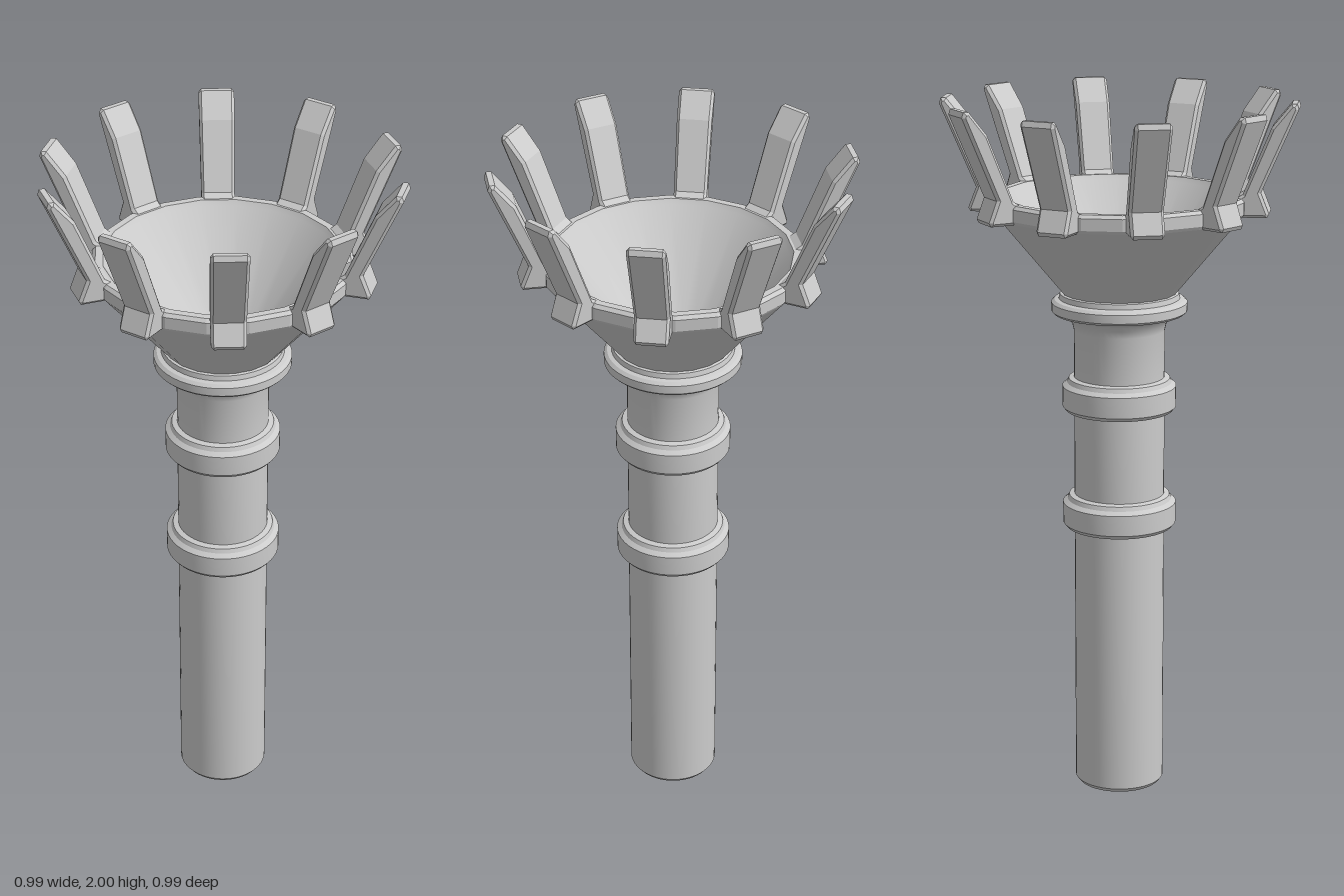
import * as THREE from 'three';
import { toCreasedNormals } from 'three/addons/utils/BufferGeometryUtils.js';

const smooth = new THREE.MeshStandardMaterial({ color: 0xcccccc });
const faceted = new THREE.MeshStandardMaterial({ color: 0xcccccc, flatShading: true });

function lathe(name, points, segments, material) {
  let geometry = new THREE.LatheGeometry(points.map(([r, y]) => new THREE.Vector2(r, y)), segments);
  if (material === smooth) geometry = toCreasedNormals(geometry, 0.45);
  const mesh = new THREE.Mesh(geometry, material);
  mesh.name = name;
  return mesh;
}

// Raised band around the shaft, bevelled at both edges
const band = (y) => [
  [0.128, y], [0.152, y], [0.161, y + 0.011], [0.161, y + 0.07],
  [0.148, y + 0.08], [0.143, y + 0.092], [0.128, y + 0.096],
];

export function createModel() {
  const group = new THREE.Group();

  // Round shaft with two bands and a coved collar
  group.add(lathe('shaft', [
    [0, 0], [0.119, 0], [0.128, 0.012],
    ...band(0.782), ...band(1.124),
    [0.128, 1.355], [0.133, 1.375], [0.146, 1.392], [0.166, 1.401], [0.184, 1.404],
    [0.191, 1.411], [0.191, 1.435], [0.182, 1.443], [0.17, 1.446],
    [0.167, 1.46], [0.155, 1.464], [0, 1.464],
  ], 48, smooth));

  // Faceted outer cone with a thin rim
  group.add(lathe('bowlOutside', [
    [0.155, 1.455], [0.349, 1.688], [0.355, 1.697], [0.355, 1.73], [0.346, 1.739], [0.325, 1.739],
  ], 20, faceted));

  // Hollow inside, with a round floor
  group.add(lathe('bowlInside', [[0.325, 1.739], [0.315, 1.725], [0.105, 1.475], [0, 1.47]], 20, smooth));

  // Prong side profile: flared foot, slanted back, bevelled tip
  const profile = new THREE.Shape([
    [0.32, 1.70], [0.345, 1.686], [0.412, 1.686], [0.418, 1.697], [0.395, 1.755],
    [0.495, 1.985], [0.49, 2.0], [0.475, 2.0], [0.422, 1.935], [0.345, 1.75], [0.325, 1.737],
  ].map(([r, y]) => new THREE.Vector2(r, y)));
  const bevel = 0.008, width = 0.1;
  const prong = new THREE.ExtrudeGeometry(profile, {
    depth: width - 2 * bevel, bevelThickness: bevel, bevelSize: bevel, bevelOffset: -bevel, bevelSegments: 1,
  });
  prong.translate(0, 0, bevel - width / 2);
  // Taper the width slightly toward the foot
  const pos = prong.attributes.position;
  for (let i = 0; i < pos.count; i++) {
    pos.setZ(i, pos.getZ(i) * (0.92 + 0.26 * (pos.getY(i) - 1.69)));
  }

  // Crown of ten prongs
  const crown = new THREE.Group();
  crown.name = 'crown';
  for (let i = 0; i < 10; i++) {
    const mesh = new THREE.Mesh(prong, faceted);
    mesh.name = 'prong';
    mesh.rotation.y = -(9 + 36 * i) * Math.PI / 180;
    crown.add(mesh);
  }
  group.add(crown);
  return group;
}
